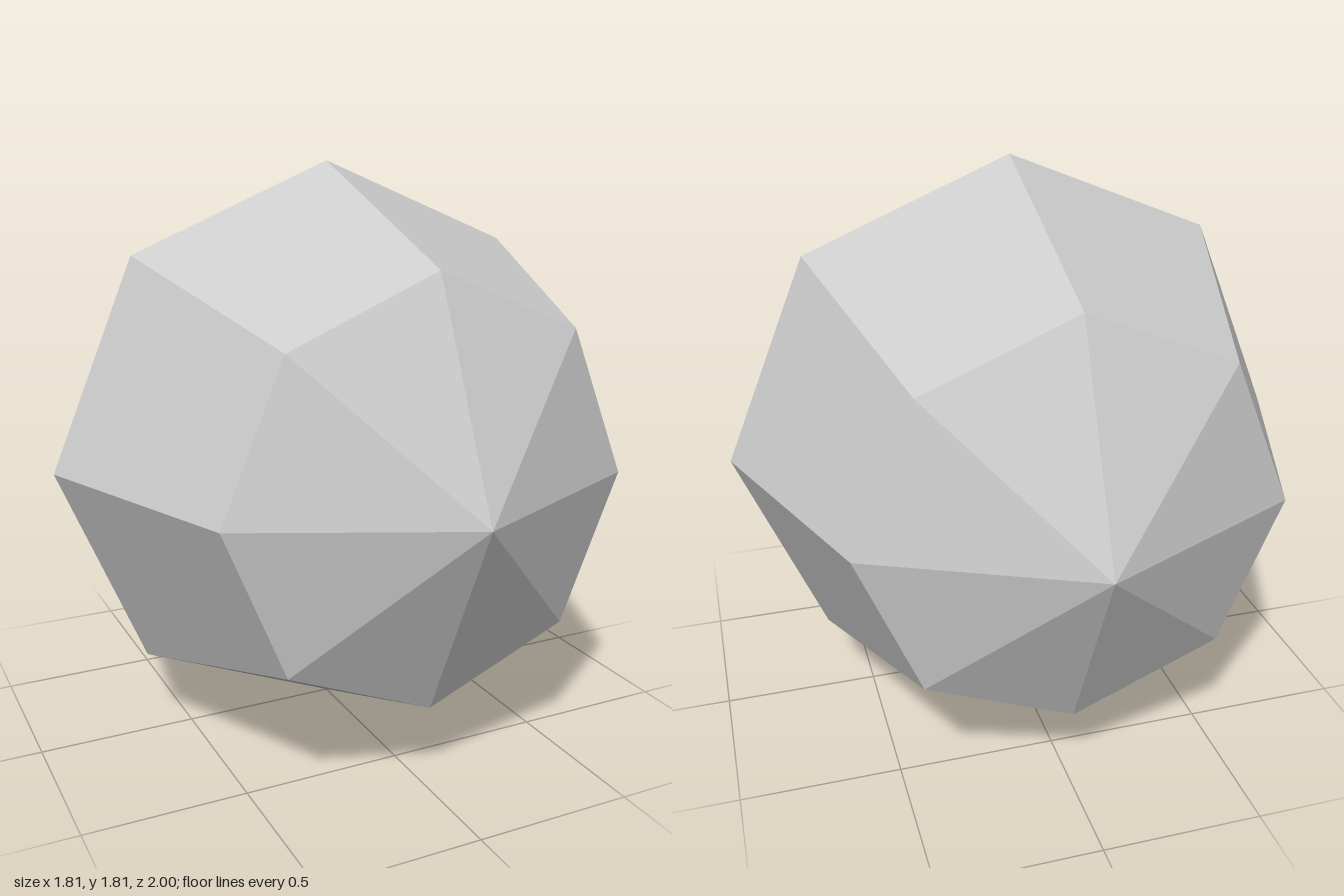
import * as THREE from 'three';

export function createModel() {
  const model = new THREE.Group();
  model.name = 'facetedBall';
  const grey = new THREE.MeshStandardMaterial({ color: 0xcccccc, flatShading: true });
  grey.name = 'light grey';

  // Eight-sided, four-band sphere with its poles on the z axis
  const radius = 0.907;
  const geometry = new THREE.SphereGeometry(1, 8, 4);
  geometry.rotateX(Math.PI / 2);
  geometry.scale(radius, radius, 1);

  const ball = new THREE.Mesh(geometry, grey);
  ball.name = 'ball';
  ball.position.y = radius;
  model.add(ball);
  return model;
}
